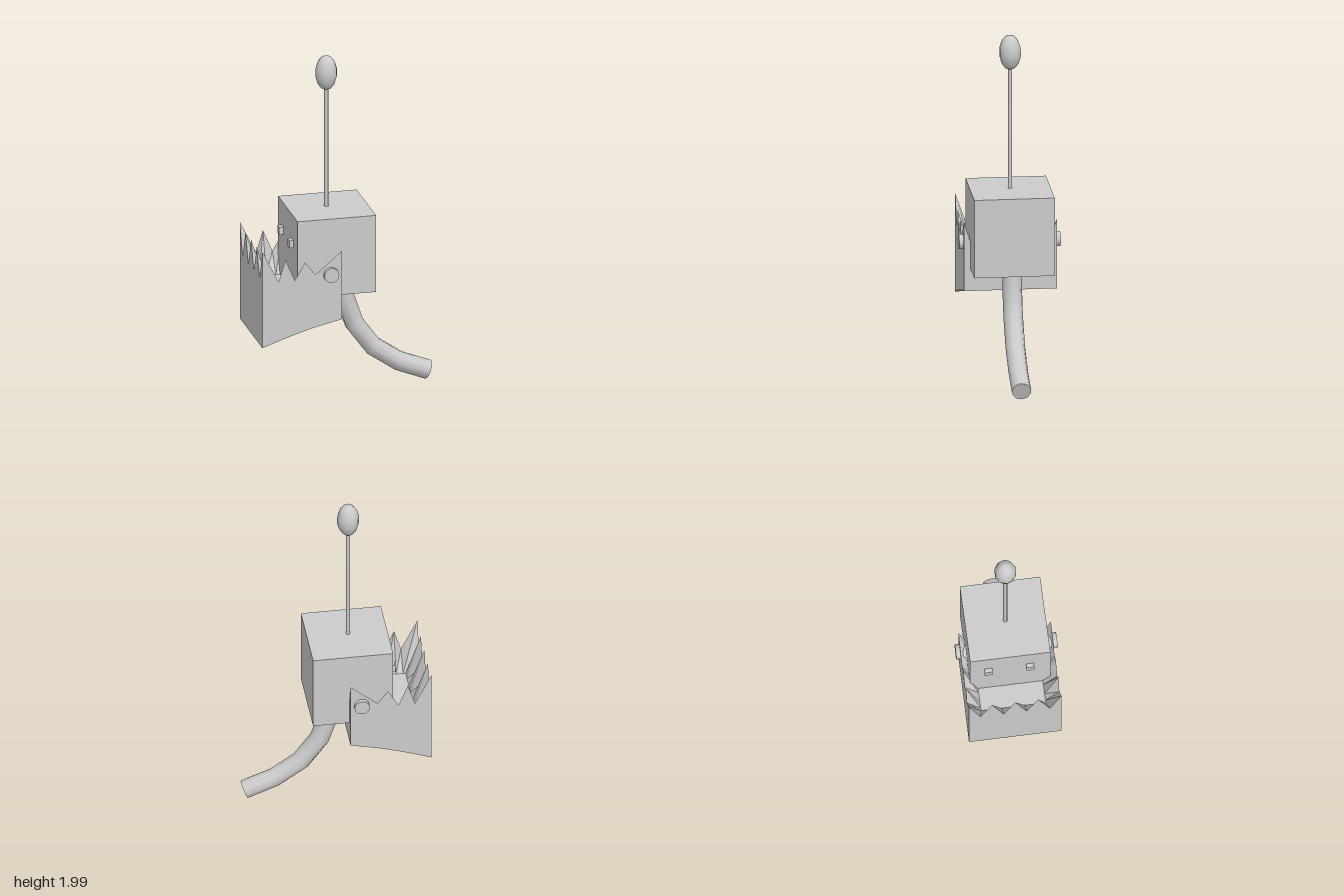
import * as THREE from 'three';

const material = new THREE.MeshStandardMaterial({ color: 0xcccccc });
const jawMaterial = new THREE.MeshStandardMaterial({ color: 0xcccccc, flatShading: true, side: THREE.DoubleSide });

function add(parent, name, geometry, x = 0, y = 0, z = 0, mat = material) {
  const mesh = new THREE.Mesh(geometry, mat);
  mesh.name = name;
  mesh.position.set(x, y, z);
  parent.add(mesh);
  return mesh;
}

// Hollow jaw: jagged rim, walls thickening down to a raised floor, sloping underside
function jawGeometry() {
  const W = 0.265, BACK = -0.06, FRONT = -0.525, FLOOR = 0.64, INSET = 0.08;
  // x, rim height, underside height along one side, back to front
  const side = [
    [BACK, 0.91, 0.5], [-0.215, 0.78, 0.465], [-0.275, 0.86, 0.448], [-0.335, 0.755, 0.43],
    [-0.39, 0.885, 0.412], [-0.43, 0.755, 0.398], [FRONT, 0.945, 0.365],
  ];
  // Rim loop: left side, front teeth, right side
  const rim = side.map(([x, y, b]) => ({ x, y, b, z: W }));
  for (let i = 1; i < 8; i++) {
    rim.push({ x: FRONT, y: i % 2 ? 0.76 : 0.93, b: 0.365, z: W - (2 * W * i) / 8 });
  }
  [...side].reverse().forEach(([x, y, b]) => rim.push({ x, y, b, z: -W }));

  const positions = [];
  const tri = (...pts) => pts.forEach((p) => positions.push(...p));
  const quad = (a, b, c, d) => { tri(a, b, c); tri(a, c, d); };
  const top = (p) => [p.x, p.y, p.z];
  const bottom = (p) => [p.x, p.b, p.z];
  const inner = (p) => [
    Math.max(p.x, FRONT + INSET), FLOOR,
    THREE.MathUtils.clamp(p.z, INSET - W, W - INSET),
  ];

  // Outer and inner walls
  for (let i = 0; i < rim.length - 1; i++) {
    const a = rim[i], b = rim[i + 1];
    quad(bottom(a), top(a), top(b), bottom(b));
    quad(inner(a), inner(b), top(b), top(a));
  }
  // Underside
  for (let i = 0; i < side.length - 1; i++) {
    const [ax, , ay] = side[i], [bx, , by] = side[i + 1];
    quad([ax, ay, W], [bx, by, W], [bx, by, -W], [ax, ay, -W]);
  }
  // Floor and back wall
  const l = rim[0], r = rim[rim.length - 1];
  const fx = FRONT + INSET, fz = W - INSET;
  quad(inner(l), inner(r), [fx, FLOOR, -fz], [fx, FLOOR, fz]);
  quad(bottom(l), bottom(r), inner(r), inner(l));
  tri(bottom(r), top(r), inner(r));
  tri(bottom(l), inner(l), top(l));

  const g = new THREE.BufferGeometry();
  g.setAttribute('position', new THREE.Float32BufferAttribute(positions, 3));
  g.computeVertexNormals();
  return g;
}

export function createModel() {
  const model = new THREE.Group();
  model.name = 'boxCreature';

  add(model, 'head', new THREE.BoxGeometry(0.46, 0.46, 0.46), -0.08, 0.865, 0);
  add(model, 'jaw', jawGeometry(), 0, 0, 0, jawMaterial);

  // Eyes
  add(model, 'leftEye', new THREE.BoxGeometry(0.045, 0.045, 0.045), -0.312, 0.928, 0.112);
  add(model, 'rightEye', new THREE.BoxGeometry(0.045, 0.045, 0.045), -0.312, 0.928, -0.127);

  // Jaw hinge pins
  for (const s of [1, -1]) {
    const pin = add(model, s > 0 ? 'leftHingePin' : 'rightHingePin',
      new THREE.CylinderGeometry(0.044, 0.044, 0.1, 12), -0.124, 0.775, s * 0.24);
    pin.rotation.x = Math.PI / 2;
  }

  // Antenna
  add(model, 'antennaRod', new THREE.CylinderGeometry(0.012, 0.012, 0.76, 8), -0.085, 1.45, 0);
  const bulb = add(model, 'antennaBulb', new THREE.SphereGeometry(0.064, 10, 7), -0.086, 1.897, 0);
  bulb.scale.y = 0.103 / 0.064;

  // Tail with a capped tip
  const path = new THREE.CatmullRomCurve3([
    [0.02, 0.735], [0.02, 0.55], [0.08, 0.375], [0.19, 0.228], [0.335, 0.13], [0.51, 0.062],
  ].map(([x, y]) => new THREE.Vector3(x, y, 0)));
  add(model, 'tail', new THREE.TubeGeometry(path, 5, 0.056, 10));
  const tip = add(model, 'tailTip', new THREE.CircleGeometry(0.056, 10), 0.51, 0.062, 0);
  tip.quaternion.setFromUnitVectors(new THREE.Vector3(0, 0, 1), path.getTangentAt(1));

  return model;
}
